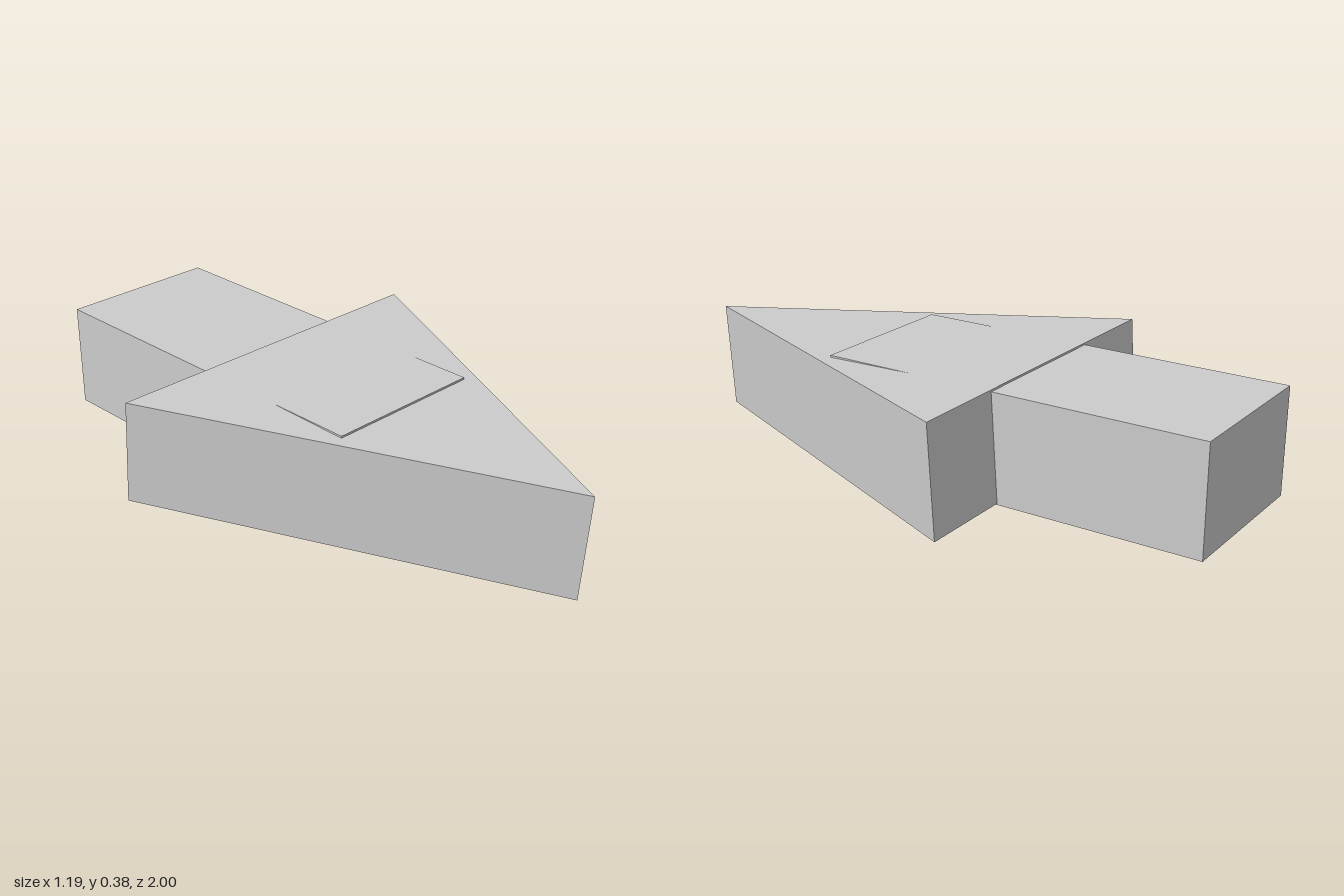
import * as THREE from 'three';

export function createModel() {
  const model = new THREE.Group();
  const material = new THREE.MeshStandardMaterial({ color: 0xcccccc, flatShading: true });

  // Straight shaft, running forward into the arrowhead and just breaking its top face
  const [bottom, top, back, front] = [0.028, 0.381, -1, 0.297];
  const shaft = new THREE.Mesh(new THREE.BoxGeometry(0.546, top - bottom, front - back), material);
  shaft.name = 'shaft';
  shaft.position.set(0, (top + bottom) / 2, (front + back) / 2);
  model.add(shaft);

  // Triangular arrowhead with its point towards +z
  const triangle = new THREE.Shape([
    new THREE.Vector2(0, -1),
    new THREE.Vector2(0.595, 0.305),
    new THREE.Vector2(-0.595, 0.305),
  ]);
  const headGeometry = new THREE.ExtrudeGeometry(triangle, { depth: 1, bevelEnabled: false });

  // Lay the triangle flat, dipping slightly at the point, with walls leaning forward
  headGeometry.applyMatrix4(new THREE.Matrix4().makeBasis(
    new THREE.Vector3(1, 0, 0),
    new THREE.Vector3(0, 0.0207, -1),
    new THREE.Vector3(0, 0.355, 0.025),
  ).setPosition(0, 0.0257, -0.025));
  headGeometry.computeVertexNormals();
  const head = new THREE.Mesh(headGeometry, material);
  head.name = 'arrowhead';
  model.add(head);

  return model;
}
